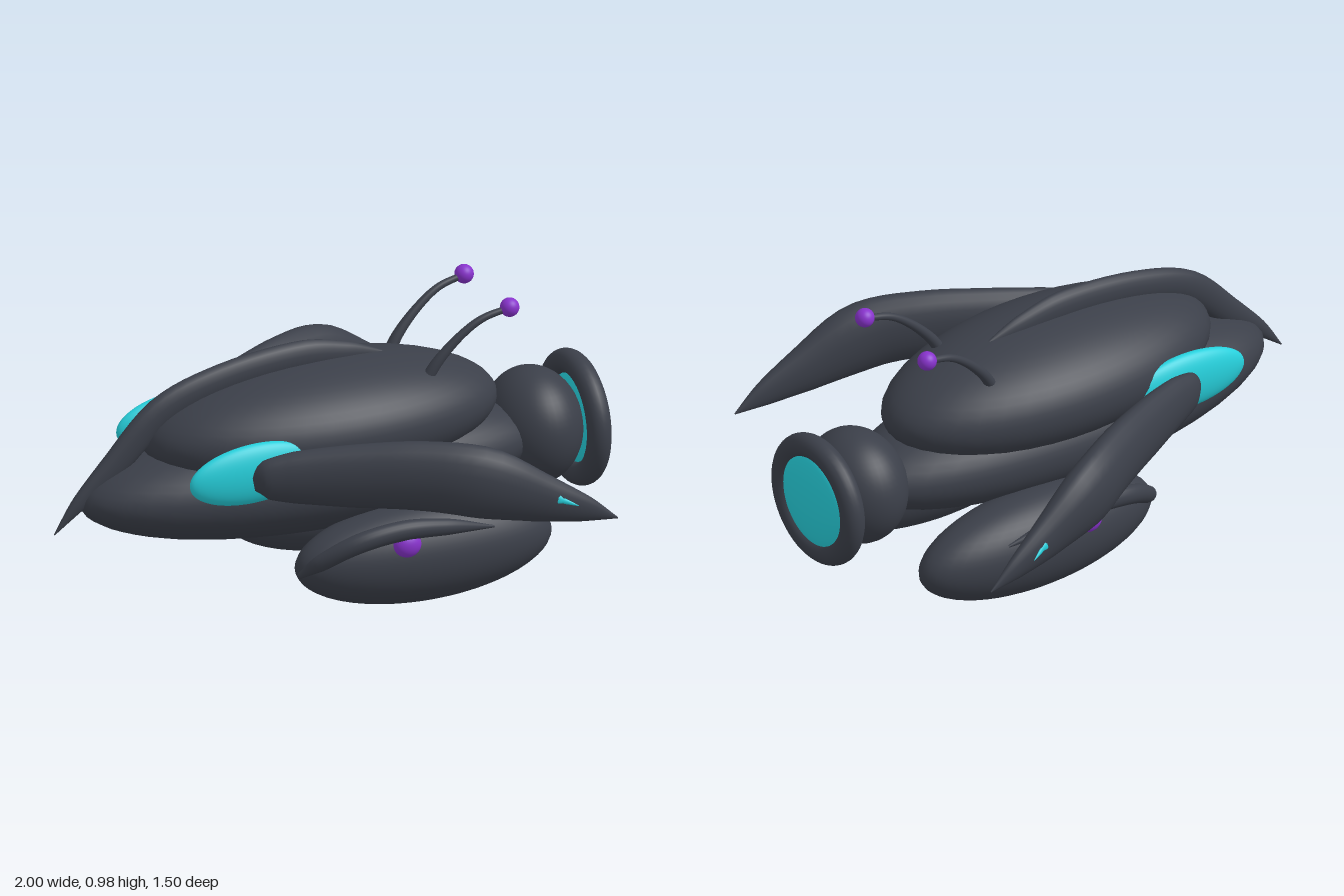
import * as THREE from 'three';

const mat = (name, color) => {
  const m = new THREE.MeshStandardMaterial({ color });
  m.name = name;
  return m;
};

// Smooth tapered body through stations [x, y, z, halfHeight, halfWidth];
// "side" is the direction in which halfWidth is measured.
function loft(stations, side, segments = 40, around = 20) {
  const path = new THREE.CatmullRomCurve3(stations.map(s => new THREE.Vector3(s[0], s[1], s[2])));
  const size = new THREE.CatmullRomCurve3(stations.map(s => new THREE.Vector3(s[3], s[4], 0)));
  const pos = [], index = [];
  for (let i = 0; i <= segments; i++) {
    const k = i / segments;
    const c = path.getPoint(k), t = path.getTangent(k), r = size.getPoint(k);
    const u = new THREE.Vector3().crossVectors(side, t).normalize();
    const v = new THREE.Vector3().crossVectors(t, u);
    for (let j = 0; j < around; j++) {
      const a = (j / around) * Math.PI * 2;
      const p = c.clone()
        .addScaledVector(u, Math.cos(a) * Math.max(r.x, 0.001))
        .addScaledVector(v, Math.sin(a) * Math.max(r.y, 0.001));
      pos.push(p.x, p.y, p.z);
      if (i < segments) {
        const n = i * around, j2 = (j + 1) % around;
        index.push(n + j, n + j2, n + around + j, n + j2, n + around + j2, n + around + j);
      }
    }
  }
  const g = new THREE.BufferGeometry();
  g.setAttribute('position', new THREE.Float32BufferAttribute(pos, 3));
  g.setIndex(index);
  g.computeVertexNormals();
  return g;
}

export function createModel() {
  const model = new THREE.Group();
  model.name = 'ship';
  const dark = mat('dark shell', 0x3b3f49);
  const cyan = mat('cyan glow', 0x26d0dc);
  const purple = mat('purple light', 0x8833cc);

  const add = (name, geometry, material) => {
    const m = new THREE.Mesh(geometry, material);
    m.name = name;
    model.add(m);
    return m;
  };
  const ellipsoid = (name, material, c, r) => {
    const m = add(name, new THREE.SphereGeometry(1, 40, 28), material);
    m.position.set(...c);
    m.scale.set(...r);
    return m;
  };

  // Hull
  ellipsoid('lowerHull', dark, [-0.05, 0.43, 0], [0.85, 0.2, 0.3]);
  ellipsoid('upperHull', dark, [-0.01, 0.605, 0], [0.65, 0.21, 0.325]);

  // Curved dorsal spine hooking over the nose
  add('dorsalSpine', loft([
    [-1, 0.34, 0, 0.002, 0.002],
    [-0.91, 0.435, 0, 0.028, 0.018],
    [-0.79, 0.54, 0, 0.048, 0.028],
    [-0.6, 0.715, 0, 0.058, 0.034],
    [-0.38, 0.79, 0, 0.06, 0.036],
    [-0.08, 0.822, 0, 0.063, 0.036],
    [0.1, 0.805, 0, 0.048, 0.026],
    [0.25, 0.788, 0, 0.004, 0.004],
  ], new THREE.Vector3(0, 0, 1)), dark);

  // Engine
  ellipsoid('engineBall', dark, [0.79, 0.44, 0], [0.165, 0.203, 0.203]);
  const ring = add('engineRing', new THREE.TorusGeometry(0.193, 0.042, 20, 56), dark);
  ring.rotation.y = Math.PI / 2;
  ring.position.set(0.947, 0.44, 0);
  ellipsoid('engineGlow', cyan, [0.957, 0.44, 0], [0.043, 0.175, 0.175]);

  for (const s of [1, -1]) {
    const side = s > 0 ? 'left' : 'right';
    const mirror = list => list.map(([x, y, z, a, b]) => [x, y, z * s, a, b]);
    const out = new THREE.Vector3(0, 0, s);

    // Wing blade swept back from the side window
    add(side + 'Wing', loft(mirror([
      [-0.41, 0.54, 0.32, 0.03, 0.012],
      [-0.37, 0.548, 0.335, 0.07, 0.035],
      [-0.28, 0.552, 0.365, 0.092, 0.05],
      [-0.1, 0.555, 0.445, 0.112, 0.062],
      [0.1, 0.557, 0.545, 0.123, 0.07],
      [0.28, 0.535, 0.632, 0.128, 0.075],
      [0.5, 0.455, 0.682, 0.085, 0.05],
      [0.65, 0.4, 0.707, 0.045, 0.025],
      [0.76, 0.355, 0.72, 0.002, 0.002],
    ]), new THREE.Vector3(-0.4, 0, 0.9 * s)), dark);

    // Thin glowing spike on the wing
    add(side + 'WingSpike', loft(mirror([
      [0.5, 0.47, 0.705, 0.01, 0.006],
      [0.55, 0.455, 0.73, 0.01, 0.006],
      [0.6, 0.435, 0.75, 0.001, 0.001],
    ]), out, 8, 10), cyan);

    // Side window
    ellipsoid(side + 'Window', cyan, [-0.39, 0.558, 0.283 * s], [0.24, 0.105, 0.045])
      .rotation.z = 0.05;

    // Lower pod with its crest and lamp
    ellipsoid(side + 'Pod', dark, [0.245, 0.18, 0.28 * s], [0.475, 0.177, 0.162]);
    add(side + 'PodCrest', loft(mirror([
      [-0.228, 0.165, 0.3, 0.01, 0.01],
      [-0.175, 0.222, 0.355, 0.03, 0.025],
      [-0.06, 0.29, 0.408, 0.035, 0.03],
      [0.1, 0.316, 0.423, 0.035, 0.031],
      [0.27, 0.302, 0.422, 0.028, 0.025],
      [0.45, 0.268, 0.405, 0.004, 0.004],
    ]), out), dark);
    ellipsoid(side + 'PodLamp', purple, [0.12, 0.26, 0.415 * s], [0.05, 0.045, 0.034]);

    // Antenna
    add(side + 'Antenna', loft(mirror([
      [0.32, 0.72, 0.143, 0.022, 0.022],
      [0.36, 0.785, 0.15, 0.019, 0.019],
      [0.44, 0.868, 0.159, 0.015, 0.015],
      [0.52, 0.922, 0.167, 0.013, 0.013],
      [0.62, 0.948, 0.174, 0.011, 0.011],
    ]), out, 24, 14), dark);
    ellipsoid(side + 'AntennaTip', purple, [0.62, 0.95, 0.175 * s], [0.033, 0.033, 0.033]);
  }
  return model;
}
